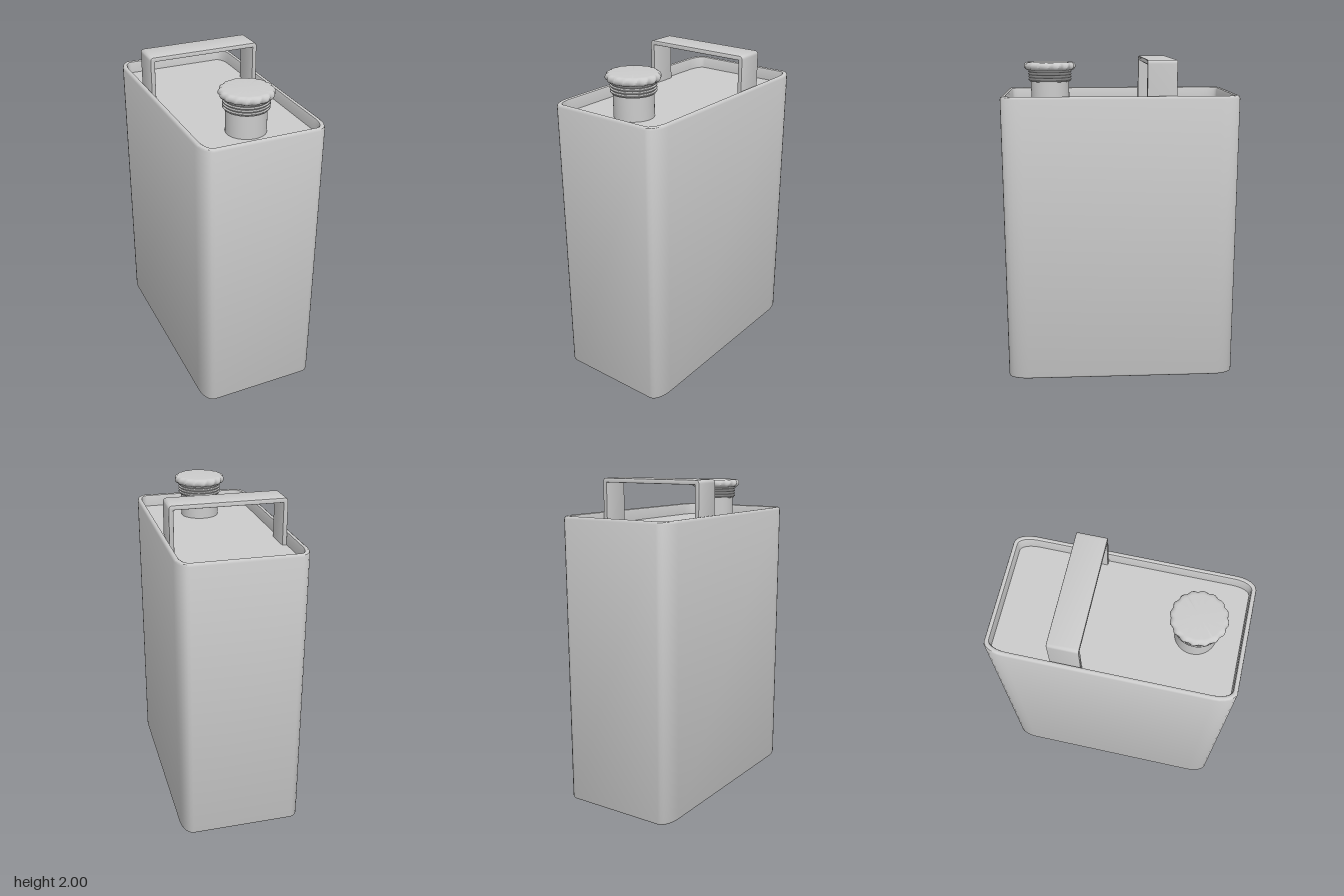
import * as THREE from 'three';
import { toCreasedNormals } from 'three/addons/utils/BufferGeometryUtils.js';

const material = new THREE.MeshStandardMaterial({ color: 0xcccccc });

function addMesh(parent, name, geometry, crease = 0.7) {
  const mesh = new THREE.Mesh(toCreasedNormals(geometry, crease), material);
  mesh.name = name;
  parent.add(mesh);
  return mesh;
}

// Rectangle outline with elongated corners, pulled in by `inset`
function outline(inset) {
  const hx = 0.385 - inset, hz = 0.72 - inset;
  const rx = 0.065 - inset * 0.6, rz = 0.125 - inset * 0.6;
  const steps = 6, points = [];
  for (let q = 0; q < 4; q++) {
    const sx = q === 0 || q === 3 ? 1 : -1;
    const sz = q < 2 ? 1 : -1;
    for (let i = 0; i <= steps; i++) {
      const a = (q + i / steps) * Math.PI / 2;
      points.push([sx * (hx - rx) + rx * Math.cos(a), sz * (hz - rz) + rz * Math.sin(a)]);
    }
  }
  return points;
}

// Stack the outline along a profile of [inset, y], closed by flat panels
function bodyGeometry(profile) {
  const positions = [], index = [];
  const n = outline(0).length;
  for (const [inset, y] of profile) {
    for (const [x, z] of outline(inset)) positions.push(x, y, z);
  }
  const last = profile.length - 1;
  const bottom = profile.length * n, top = bottom + 1;
  positions.push(0, profile[0][1], 0, 0, profile[last][1], 0);
  for (let j = 0; j < n; j++) {
    const k = (j + 1) % n;
    for (let i = 0; i < last; i++) {
      const a = i * n + j, b = i * n + k;
      index.push(a, a + n, b, b, a + n, b + n);
    }
    index.push(bottom, j, k, top, last * n + k, last * n + j);
  }
  const geometry = new THREE.BufferGeometry();
  geometry.setAttribute('position', new THREE.Float32BufferAttribute(positions, 3));
  geometry.setIndex(index);
  return geometry;
}

// Flat strap bent into an upside-down U
function handleGeometry() {
  const bevel = 0.005, w = 0.353 - bevel, t = 0.028 - 2 * bevel, r = 0.018;
  const base = 1.7, top = 2 - bevel;
  const s = new THREE.Shape();
  s.moveTo(-w, base);
  s.lineTo(-w, top - r);
  s.quadraticCurveTo(-w, top, -w + r, top);
  s.lineTo(w - r, top);
  s.quadraticCurveTo(w, top, w, top - r);
  s.lineTo(w, base);
  s.lineTo(w - t, base);
  s.lineTo(w - t, top - t);
  s.lineTo(-w + t, top - t);
  s.lineTo(-w + t, base);
  s.closePath();
  return new THREE.ExtrudeGeometry(s, {
    depth: 0.18 - 2 * bevel, bevelEnabled: true, bevelSize: bevel,
    bevelThickness: bevel, bevelSegments: 2, curveSegments: 5,
  });
}

function lathe(profile, segments) {
  return new THREE.LatheGeometry(profile.map(([r, y]) => new THREE.Vector2(r, y)), segments);
}

// Screw cap whose wide grip is scalloped with slanted lobes
function capGeometry() {
  const geometry = lathe([
    [0.125, 1.925], [0.142, 1.928], [0.152, 1.935], [0.158, 1.945],
    [0.158, 1.957], [0.153, 1.968], [0.143, 1.975], [0.13, 1.976], [0, 1.976],
  ], 128);
  const p = geometry.attributes.position;
  for (let i = 0; i < p.count; i++) {
    const x = p.getX(i), y = p.getY(i), z = p.getZ(i);
    if (Math.hypot(x, z) < 0.14) continue;
    const lobe = 1 + 0.026 * Math.cos(16 * Math.atan2(z, x) + (y - 1.95) * 45);
    p.setXYZ(i, x * lobe, y, z * lobe);
  }
  return geometry;
}

export function createModel() {
  const model = new THREE.Group();
  model.name = 'canister';

  // Body with rounded rims and recessed top and bottom panels
  addMesh(model, 'body', bodyGeometry([
    [0.032, 0.03], [0.03, 0.01], [0.026, 0.003], [0.019, 0], [0.012, 0],
    [0.004, 0.005], [0, 0.015], [0, 1.773], [0.004, 1.785], [0.012, 1.79],
    [0.019, 1.79], [0.026, 1.786], [0.03, 1.774], [0.032, 1.715],
  ]));

  // Carrying handle across the rear of the top
  addMesh(model, 'handle', handleGeometry()).position.z = -0.33;

  // Spout: neck, ridged collar and cap
  const spout = new THREE.Group();
  spout.name = 'spout';
  spout.position.z = 0.43;
  model.add(spout);
  addMesh(spout, 'neck', lathe([[0.12, 1.7], [0.12, 1.87]], 48));
  const collar = [[0.118, 1.855], [0.128, 1.857]];
  for (let i = 0; i < 4; i++) {
    const y = 1.862 + i * 0.017;
    collar.push([0.129, y], [0.136, y + 0.005], [0.136, y + 0.01], [0.129, y + 0.015]);
  }
  addMesh(spout, 'collar', lathe(collar, 64));
  addMesh(spout, 'cap', capGeometry());

  return model;
}
